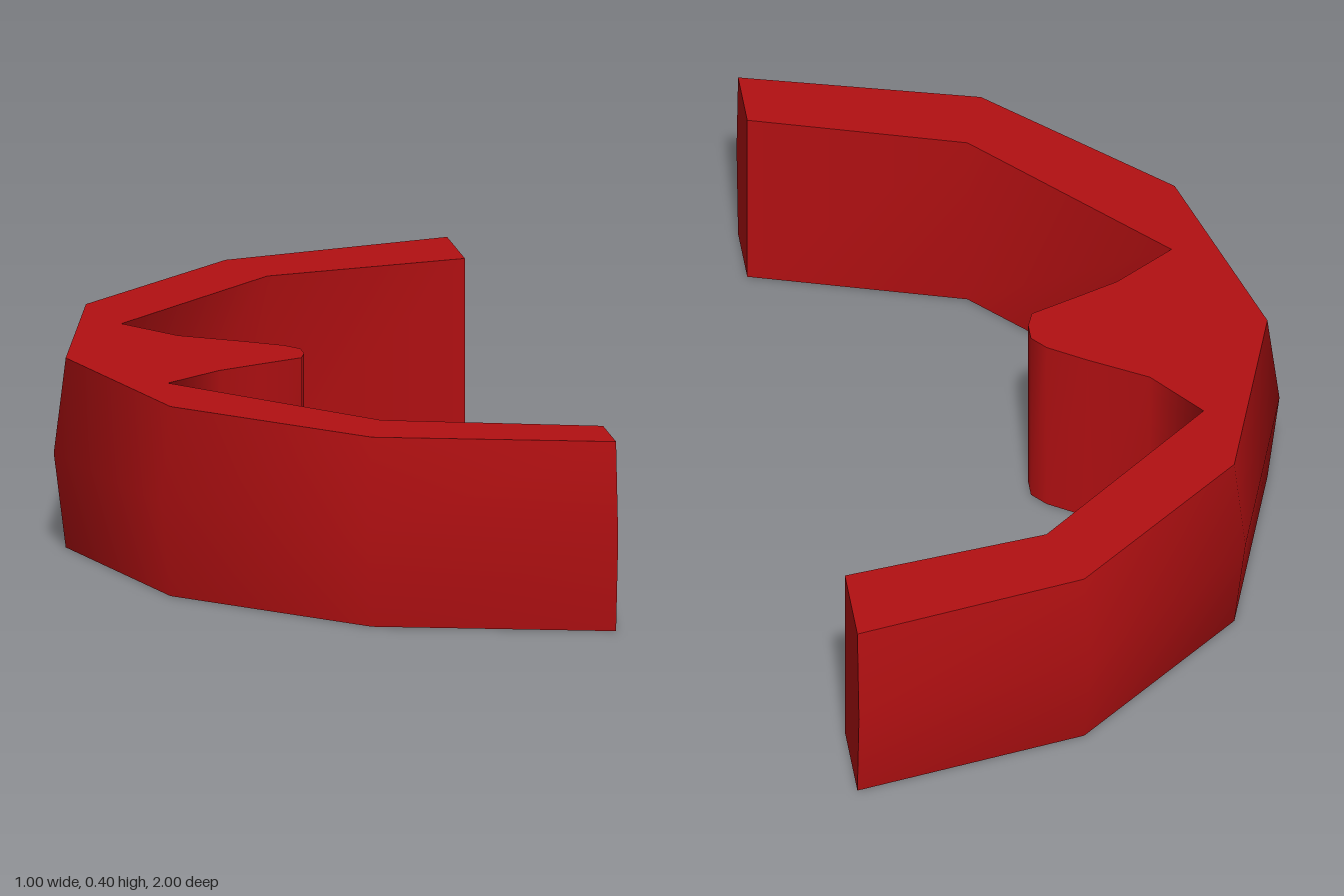
import * as THREE from 'three';

const H = 0.4;

// Inner outline in [x, z], running from the front end to the back end
const INNER = [
  [0.5, 0.825], [0.06, 0.69], [-0.31, 0.27], [-0.185, 0.173], [-0.09, 0.128],
  [0.003, 0.085], [0.016, 0.045], [0.016, 0], [-0.012, -0.036], [-0.09, -0.09],
  [-0.21, -0.165], [-0.305, -0.295], [0.07, -0.68], [0.5, -0.77],
];

// Half of a twelve-sided ring, running from the back end to the front end
function outerArc(radius) {
  return Array.from({ length: 7 }, (_, i) => {
    const a = (i / 6) * Math.PI;
    return [0.5 - radius * Math.sin(a), -radius * Math.cos(a)];
  });
}

// Smooth wall through stacked rows of [x, z] points, listed from the top down
function wall(rows) {
  const cols = rows[0].length;
  const geo = new THREE.PlaneGeometry(1, 1, cols - 1, rows.length - 1);
  rows.forEach((row, r) => row.forEach(([x, z], c) =>
    geo.attributes.position.setXYZ(r * cols + c, x, H * (1 - r / (rows.length - 1)), z)));
  geo.computeVertexNormals();
  return geo;
}

function flat(points) {
  return new THREE.ShapeGeometry(new THREE.Shape(points.map(([x, y]) => new THREE.Vector2(x, y))));
}

export function createModel() {
  const group = new THREE.Group();
  group.name = 'openRing';
  const red = new THREE.MeshStandardMaterial({ color: 0xb31012 });
  red.name = 'deep red';
  const add = (name, geo) => {
    const mesh = new THREE.Mesh(geo, red);
    mesh.name = name;
    group.add(mesh);
  };

  // Outer wall bulges at mid height; inner wall is straight with a central prong
  const rim = outerArc(0.975);
  add('outerWall', wall([rim, outerArc(1), rim]));
  add('innerWall', wall([INNER, INNER]));

  // Flat top and bottom faces
  const outline = [...rim, ...INNER];
  add('topFace', flat(outline.map(([x, z]) => [x, -z])).rotateX(-Math.PI / 2).translate(0, H, 0));
  add('bottomFace', flat(outline).rotateX(Math.PI / 2));

  // Flat ends of the two arms
  for (const [name, side, inner] of [['frontArmEnd', 1, 0.825], ['backArmEnd', -1, 0.77]]) {
    const section = [[inner, 0], [0.975, 0], [1, H / 2], [0.975, H], [inner, H]];
    add(name, flat(section.map(([z, y]) => [-side * z, y])).rotateY(Math.PI / 2).translate(0.5, 0, 0));
  }
  return group;
}
